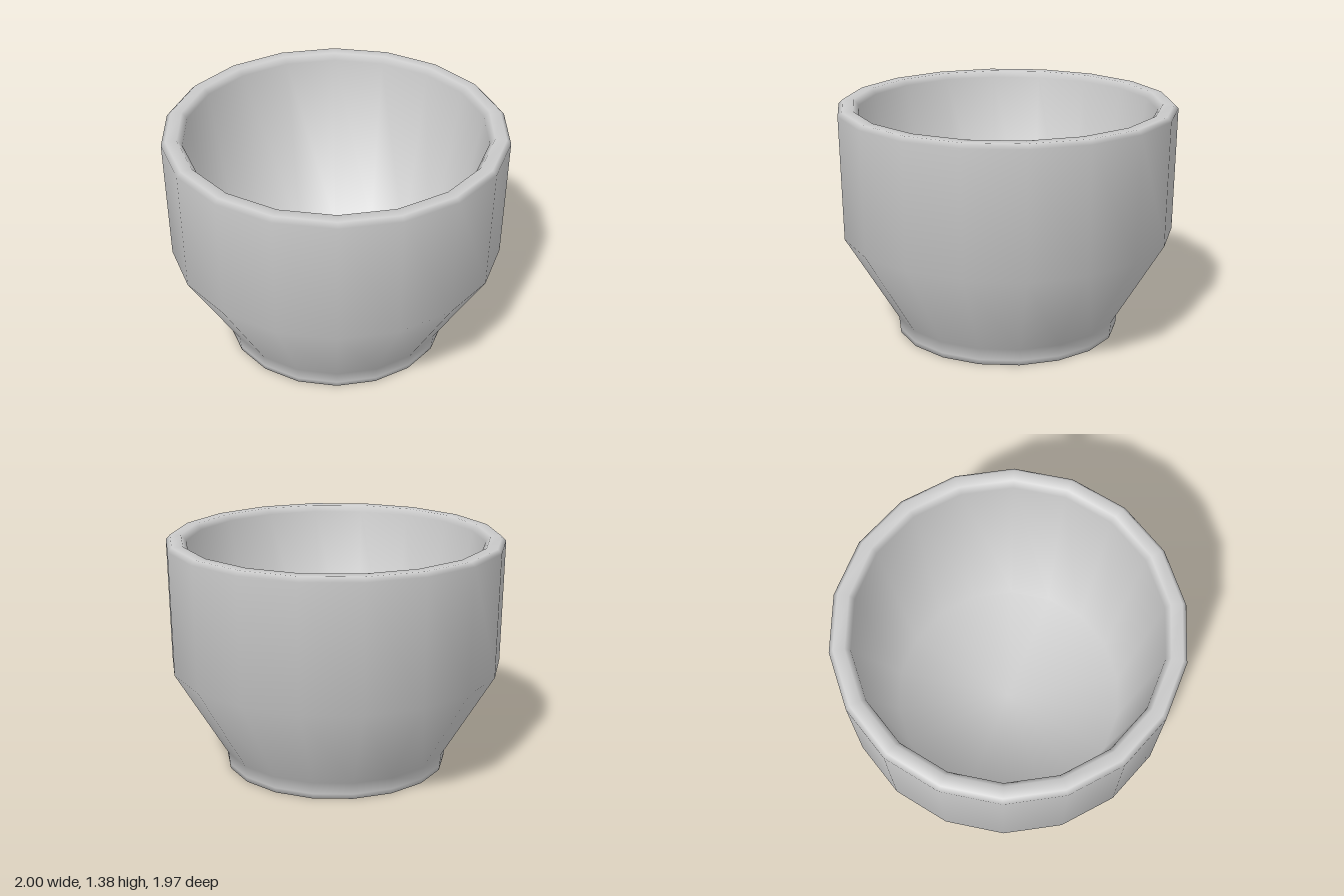
import * as THREE from 'three';

const SIDES = 18;

export function createModel() {
  const group = new THREE.Group();
  group.name = 'cup';

  // One closed profile: recessed underside, foot, flared body, bevelled rim, tapered inside, floor
  const profile = [
    [0, 0.06], [0.62, 0.06], [0.64, 0],                     // recessed underside
    [0.667, 0], [0.671, 0.03], [0.677, 0.1],                // foot
    [0.988, 0.625], [1, 1.36],                              // flare and upper wall
    [0.975, 1.385], [0.91, 1.385], [0.88, 1.35],            // rim
    [0.7, 0.25], [0, 0.25],                                 // tapered inside and floor
  ].map(([r, y]) => new THREE.Vector2(r, y));

  // A corner points along +x
  const geometry = new THREE.LatheGeometry(profile, SIDES, Math.PI / 2);
  const body = new THREE.Mesh(
    geometry,
    new THREE.MeshStandardMaterial({ color: 0xcccccc })
  );
  body.name = 'cupBody';
  group.add(body);
  return group;
}
